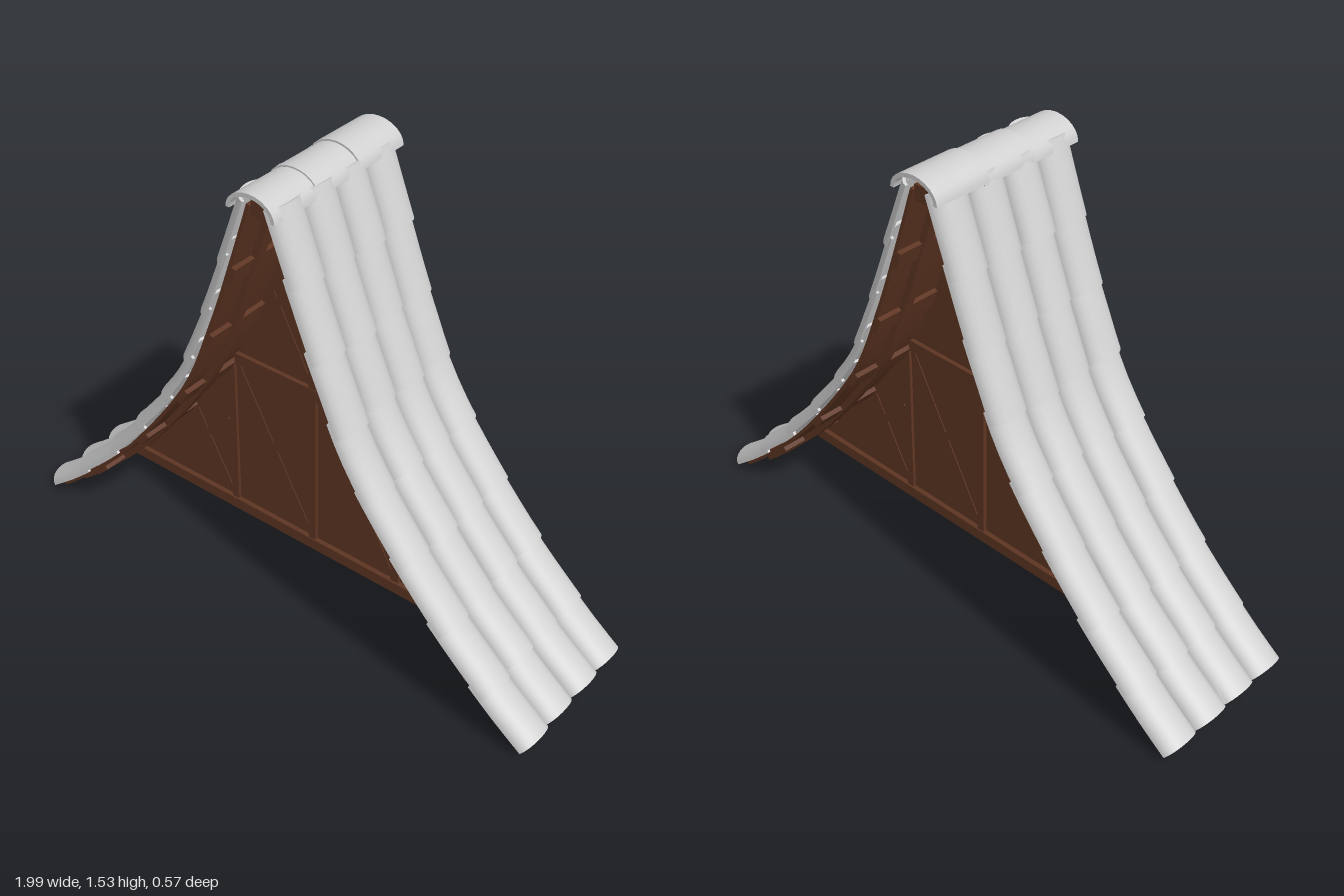
import * as THREE from 'three';
import { toCreasedNormals } from 'three/addons/utils/BufferGeometryUtils.js';

const tileGrey = new THREE.MeshStandardMaterial({ color: 0xd0d0d0 });
tileGrey.name = 'tileGrey';
const woodBrown = new THREE.MeshStandardMaterial({ color: 0x5e3522 });
woodBrown.name = 'woodBrown';

// sweeping roof line, from the eave up to the ridge
const slope = new THREE.SplineCurve([
  [0.95, 0.005], [0.81, 0.125], [0.58, 0.36], [0.32, 0.71], [0.19, 1.0], [0.1, 1.25], [0.025, 1.475],
].map(([x, y]) => new THREE.Vector2(x, y)));
slope.arcLengthDivisions = 400;

function seeded(seed) {
  return () => (seed = (seed * 16807) % 2147483647) / 2147483647;
}

function add(parent, name, geometry, material) {
  const mesh = new THREE.Mesh(geometry, material);
  mesh.name = name;
  parent.add(mesh);
  return mesh;
}

// sweep a closed section of [z, height above the slope] along part of the slope
function sweep(section, t0, t1, steps, lift0 = 0, lift1 = 0) {
  const pos = [], index = [], L = section.length;
  for (let i = 0; i <= steps; i++) {
    const k = i / steps, t = t0 + (t1 - t0) * k;
    const u = Math.min(1, Math.max(0, t));
    const p = slope.getPointAt(u), d = slope.getTangentAt(u);
    p.addScaledVector(d, (t - u) * slope.getLength());
    const lift = lift0 + (lift1 - lift0) * k;
    for (const [z, n] of section) pos.push(p.x + d.y * (n + lift), p.y - d.x * (n + lift), z);
  }
  const quad = (a, b, c, d) => index.push(a, b, c, a, c, d);
  for (let i = 0; i < steps; i++) {
    for (let j = 0; j < L; j++) {
      const a = i * L + j, b = i * L + (j + 1) % L;
      quad(a, b, b + L, a + L);
    }
  }
  const e = steps * L;
  for (let j = 0; j < L / 2 - 1; j++) {
    quad(L - 1 - j, L - 2 - j, j + 1, j);
    quad(e + j, e + j + 1, e + L - 2 - j, e + L - 1 - j);
  }
  const g = new THREE.BufferGeometry();
  g.setAttribute('position', new THREE.Float32BufferAttribute(pos, 3));
  g.setIndex(index);
  return toCreasedNormals(g, 0.6);
}

const rect = (z0, z1, n0, n1) => [[z1, n0], [z1, n1], [z0, n1], [z0, n0]];

// arched section: outer half ellipse, then the inner one back
function arch(c, w, h, thick, base) {
  const out = [], inn = [], segs = 12;
  for (let i = 0; i <= segs; i++) {
    const a = Math.PI * i / segs;
    out.push([c + w * Math.cos(a), base + h * Math.sin(a)]);
    inn.unshift([c + (w - thick) * Math.cos(a), base + (h - thick) * Math.sin(a)]);
  }
  return out.concat(inn);
}

function roofSide(name, seed) {
  const side = new THREE.Group(), rand = seeded(seed);
  side.name = name;

  // four columns of overlapping tiles
  const rows = 8, width = 0.137;
  for (let c = 0; c < 4; c++) {
    const section = arch((c - 1.5) * width, width / 2, 0.046, 0.01, 0.012);
    for (let r = 0; r < rows; r++) {
      const t0 = r / rows - (r ? 0.008 + rand() * 0.01 : 0);
      const t1 = Math.min(1, (r + 1) / rows + 0.012);
      add(side, 'roofTile', sweep(section, t0, t1, 4, 0.008 + rand() * 0.006, 0), tileGrey);
    }
  }

  // boards under the tiles, rafters and purlins
  add(side, 'roofBoards', sweep(rect(-0.25, 0.25, 0.002, 0.014), 0.015, 0.99, 28), woodBrown);
  for (const z of [-0.147, 0.147]) {
    add(side, 'rafter', sweep(rect(z - 0.018, z + 0.018, -0.02, 0.008), 0.01, 0.985, 28), woodBrown);
  }
  for (const t of [0.16, 0.34, 0.52, 0.68, 0.84]) {
    add(side, 'purlin', sweep(rect(-0.25, 0.25, -0.013, 0.006), t - 0.018, t + 0.018, 2), woodBrown);
  }
  return side;
}

function gable() {
  const group = new THREE.Group();
  group.name = 'gable';
  const box = (name, x0, x1, y0, y1, depth) => add(group, name,
    new THREE.BoxGeometry(x1 - x0, y1 - y0, depth), woodBrown)
    .position.set((x0 + x1) / 2, (y0 + y1) / 2, 0);

  // wall panel that follows the roof line
  const edge = slope.getSpacedPoints(48).filter(p => p.y > 0.1);
  const outline = [new THREE.Vector2(0.84, 0.1), ...edge,
    ...edge.slice().reverse().map(p => new THREE.Vector2(-p.x, p.y)), new THREE.Vector2(-0.84, 0.1)];
  const panel = new THREE.ExtrudeGeometry(new THREE.Shape(outline), { depth: 0.03, bevelEnabled: false });
  add(group, 'wallPanel', panel.translate(0, 0, -0.015), woodBrown);

  // timber frame
  box('baseBeam', -0.8, 0.8, 0.1, 0.14, 0.064);
  box('tieBeam', -0.31, 0.31, 0.7, 0.74, 0.06);
  box('centrePost', -0.014, 0.014, 0.14, 1.46, 0.056);
  for (const s of [-1, 1]) {
    box('sidePost', s * 0.33 - 0.014, s * 0.33 + 0.014, 0.14, 0.69, 0.052);
    // diagonal braces, almost flush with the panel
    for (const [x0, y0, x1, y1] of [[0.02, 0.15, 0.31, 0.69], [0.31, 0.15, 0.02, 0.69],
      [0.35, 0.15, 0.5, 0.43], [0.35, 0.45, 0.66, 0.15], [0.02, 0.75, 0.16, 1.02], [0.27, 0.75, 0.02, 1.2]]) {
      const len = Math.hypot(x1 - x0, y1 - y0);
      const brace = add(group, 'brace', new THREE.BoxGeometry(len, 0.022, 0.036), woodBrown);
      brace.position.set(s * (x0 + x1) / 2, (y0 + y1) / 2, 0);
      brace.rotation.z = Math.atan2(y1 - y0, s * (x1 - x0));
    }
  }
  return group;
}

export function createModel() {
  const model = new THREE.Group();
  model.name = 'roofSection';
  model.add(roofSide('leftRoof', 11));
  const right = roofSide('rightRoof', 57);
  right.rotation.y = Math.PI;
  model.add(right, gable());

  // beam under the ridge
  add(model, 'ridgeBeam', new THREE.BoxGeometry(0.055, 0.05, 0.5), woodBrown).position.set(0, 1.455, 0);

  // three arched ridge caps, stepping up towards the back
  for (const [zFront, base, w] of [[0.283, 1.453, 0.086], [0.1, 1.458, 0.088], [-0.083, 1.464, 0.09]]) {
    const shape = new THREE.Shape(arch(0, w, 0.065, 0.013, 0).map(([x, y]) => new THREE.Vector2(x, y)));
    const g = new THREE.ExtrudeGeometry(shape, { depth: 0.2, bevelEnabled: false });
    add(model, 'ridgeCap', toCreasedNormals(g, 0.6), tileGrey).position.set(-0.003, base, zFront - 0.2);
  }
  return model;
}
